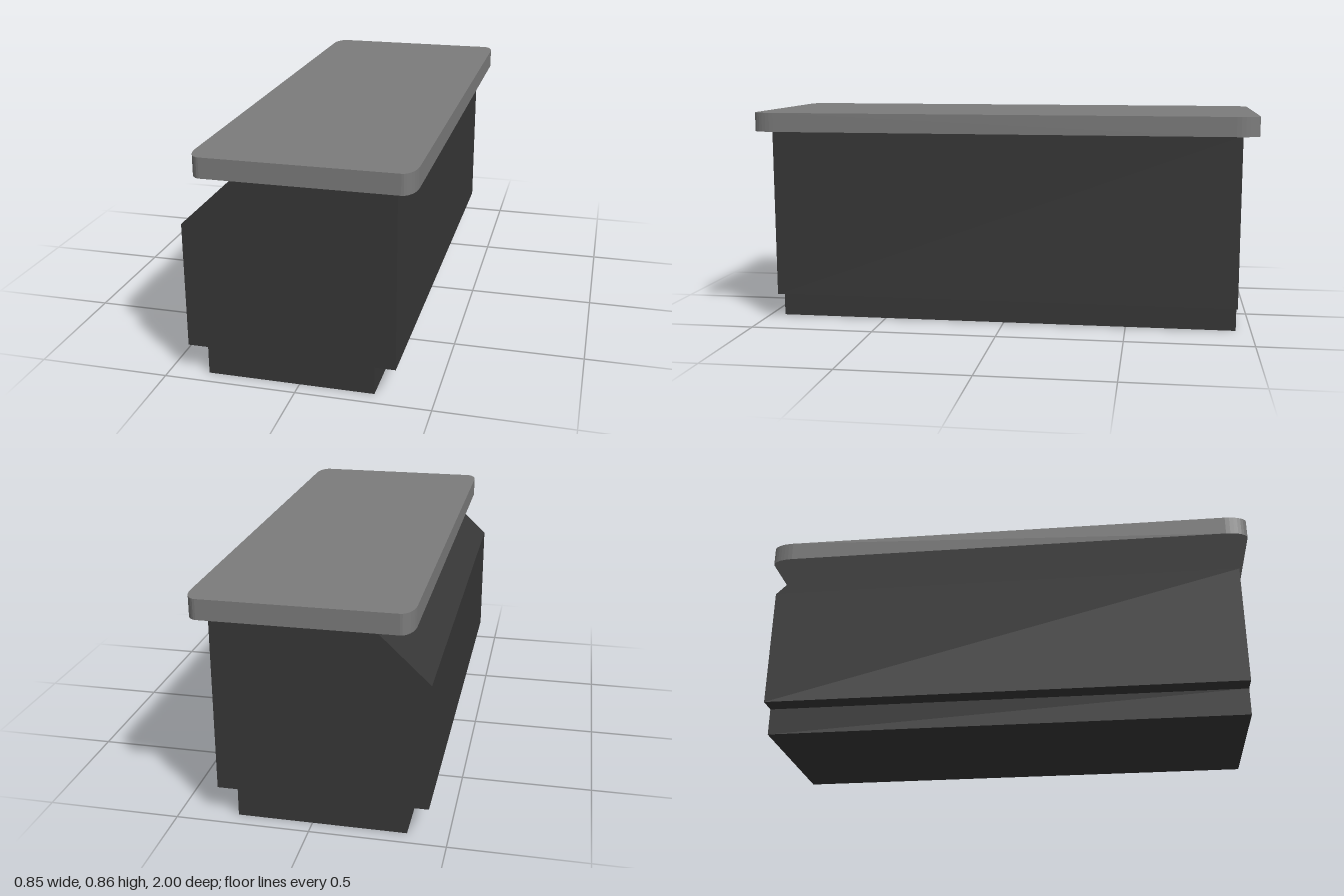
import * as THREE from 'three';

// Extrude a shape by the given depth, centred on its own z axis
function slab(shape, depth, material, name) {
  const geometry = new THREE.ExtrudeGeometry(shape, { depth, bevelEnabled: false, curveSegments: 4 });
  geometry.translate(0, 0, -depth / 2);
  const mesh = new THREE.Mesh(geometry, material);
  mesh.name = name;
  return mesh;
}

// Rectangle with elliptical corners (rx by ry)
function roundedRect(w, h, rx, ry) {
  const s = new THREE.Shape();
  const x = w / 2, y = h / 2;
  s.moveTo(x, -y + ry);
  s.lineTo(x, y - ry);
  s.absellipse(x - rx, y - ry, rx, ry, 0, Math.PI / 2, false, 0);
  s.absellipse(-x + rx, y - ry, rx, ry, Math.PI / 2, Math.PI, false, 0);
  s.absellipse(-x + rx, -y + ry, rx, ry, Math.PI, Math.PI * 1.5, false, 0);
  s.absellipse(x - rx, -y + ry, rx, ry, Math.PI * 1.5, Math.PI * 2, false, 0);
  return s;
}

export function createModel() {
  const group = new THREE.Group();
  group.name = 'counter';

  const darkGrey = new THREE.MeshStandardMaterial({ color: 0x373737 });
  darkGrey.name = 'dark grey';
  const midGrey = new THREE.MeshStandardMaterial({ color: 0x7b7b7b });
  midGrey.name = 'mid grey';

  // Cabinet with recessed plinth and a sloped upper edge
  const profile = new THREE.Shape([
    [-0.35, 0], [0.281, 0], [0.281, 0.107], [0.358, 0.107], [0.358, 0.788],
    [-0.215, 0.788], [-0.427, 0.588], [-0.427, 0.107], [-0.35, 0.107],
  ].map(([x, y]) => new THREE.Vector2(x, y)));
  group.add(slab(profile, 1.88, darkGrey, 'cabinet'));

  // Worktop with rounded corners
  const top = slab(roundedRect(0.795, 2, 0.045, 0.09), 0.076, midGrey, 'worktop');
  top.rotation.x = -Math.PI / 2;
  top.position.set(0.0285, 0.826, 0);
  group.add(top);

  return group;
}
